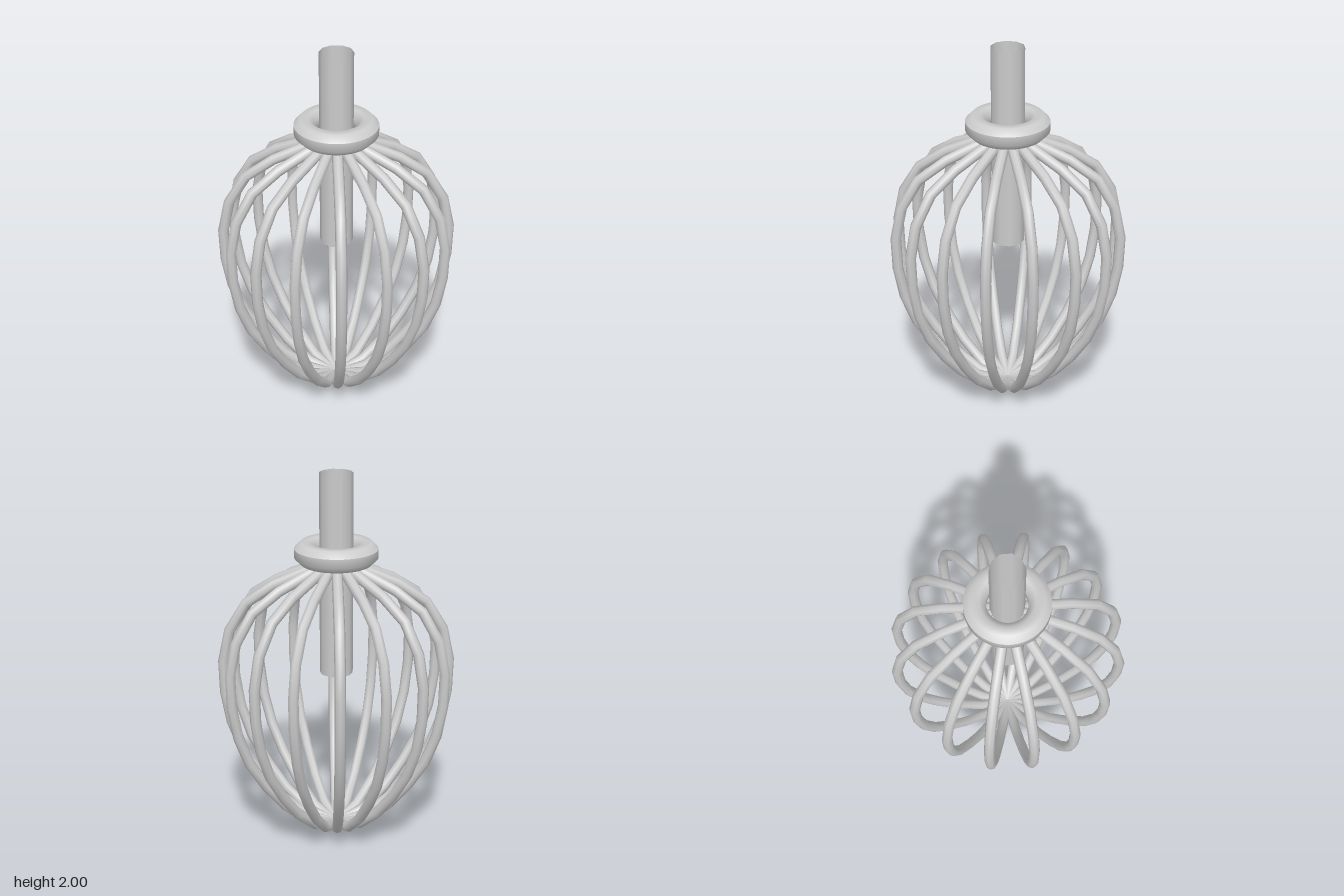
import * as THREE from 'three';

export function createModel() {
  const model = new THREE.Group();
  model.name = 'whisk';
  const material = new THREE.MeshStandardMaterial({ color: 0xcccccc, side: THREE.DoubleSide });

  const add = (name, geometry, y = 0) => {
    const mesh = new THREE.Mesh(geometry, material);
    mesh.name = name;
    mesh.position.y = y;
    model.add(mesh);
    return mesh;
  };

  // Hollow shaft, open at both ends
  add('shaft', new THREE.CylinderGeometry(0.087, 0.087, 1.07, 10, 1, true), 1.465);

  // Collar ring: eight-sided section with a flat top and bottom
  const section = [];
  for (let i = 0; i <= 8; i++) {
    const a = (i + 0.5) * Math.PI / 4;
    section.push(new THREE.Vector2(0.16 + 0.061 * Math.cos(a), 0.061 * Math.sin(a)));
  }
  add('collar', new THREE.LatheGeometry(section, 48), 1.585);

  // Wires: one bowed profile (radius, height) repeated around the axis
  const profile = [
    [0, 0.028], [0.15, 0.075], [0.275, 0.175], [0.385, 0.305], [0.495, 0.475], [0.572, 0.695],
    [0.596, 0.92], [0.586, 1.07], [0.53, 1.23], [0.425, 1.355], [0.11, 1.505], [0, 1.555],
  ].map(([r, y]) => new THREE.Vector3(r, y, 0));
  const wire = new THREE.TubeGeometry(new THREE.CatmullRomCurve3(profile), 12, 0.028, 8);
  const count = 16;
  for (let i = 0; i < count; i++) {
    add('wire', wire).rotation.y = (i / count) * Math.PI * 2;
  }

  return model;
}
